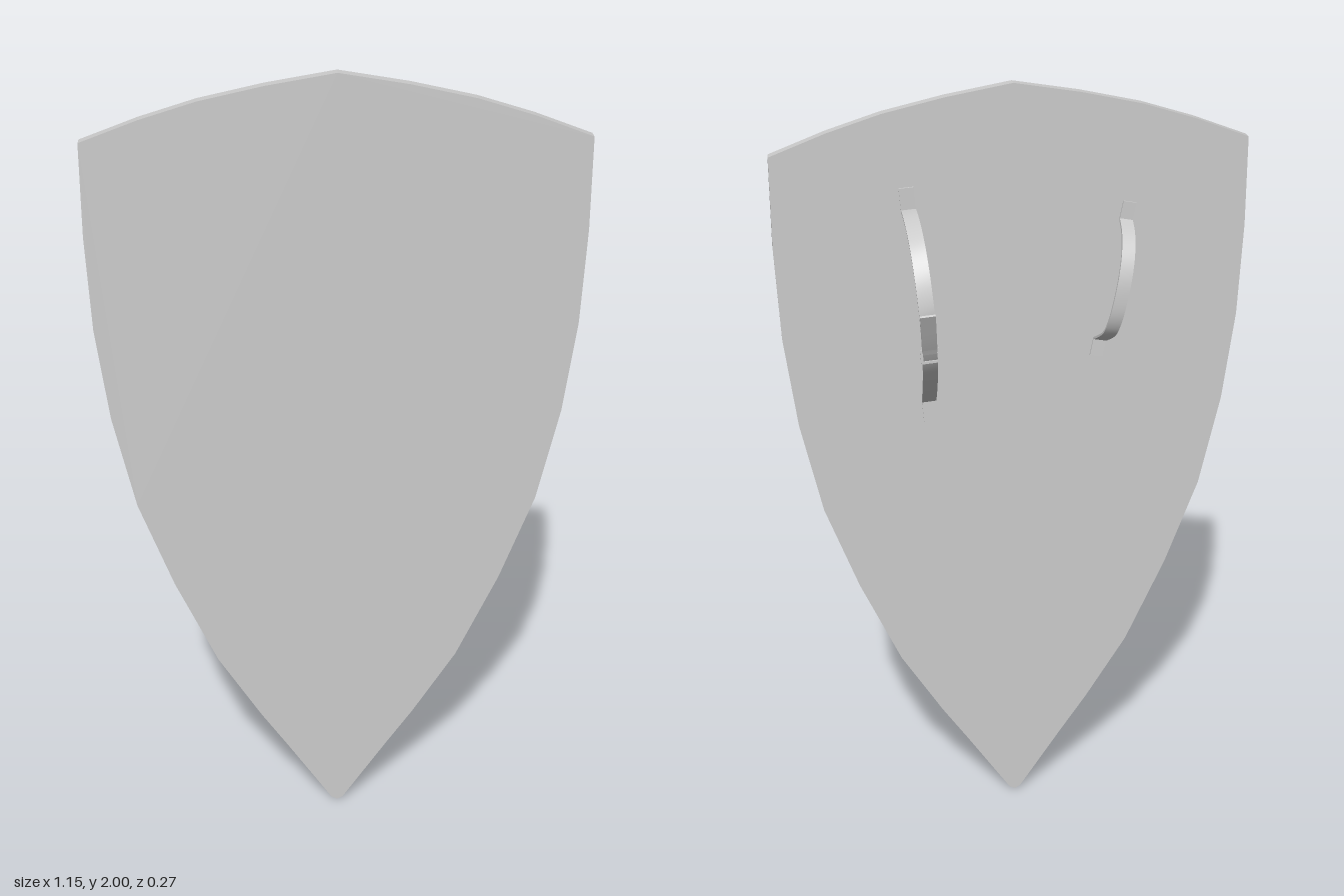
import * as THREE from 'three';
import { toCreasedNormals } from 'three/addons/utils/BufferGeometryUtils.js';

const material = new THREE.MeshStandardMaterial({ color: 0xcccccc, side: THREE.DoubleSide });
const BACK = 0.11; // z of the board's rear face

function mesh(name, geometry) {
  const m = new THREE.Mesh(geometry, material);
  m.name = name;
  return m;
}

// Leather band: a [z, y] path thickened and extruded across x.
// tabStart / tabEnd add flat tabs lying against the board (signed heights).
function band(name, path, width, { tabStart = 0, tabEnd = 0, thickness = 0.006 } = {}) {
  const curve = new THREE.CatmullRomCurve3(path.map(([z, y]) => new THREE.Vector3(-z, y, 0)), false, 'centripetal');
  const line = curve.getSpacedPoints(22).map(p => new THREE.Vector2(p.x, p.y));
  const first = line[0], last = line[line.length - 1];
  if (tabStart) line.unshift(new THREE.Vector2(first.x, first.y + tabStart));
  if (tabEnd) line.push(new THREE.Vector2(last.x, last.y + tabEnd));

  const side = s => line.map((p, i) => {
    const a = line[Math.max(i - 1, 0)], b = line[Math.min(i + 1, line.length - 1)];
    const d1 = p.clone().sub(a).normalize(), d2 = b.clone().sub(p).normalize();
    const t = d1.add(d2).normalize();
    return new THREE.Vector2(p.x - t.y * s, p.y + t.x * s);
  });
  const shape = new THREE.Shape([...side(thickness / 2), ...side(-thickness / 2).reverse()]);
  const geo = new THREE.ExtrudeGeometry(shape, { depth: width, bevelEnabled: false });
  geo.translate(0, 0, -width / 2).rotateY(Math.PI / 2);
  return mesh(name, toCreasedNormals(geo, 0.6));
}

// Flat pointed board with faceted edges
function board() {
  const half = [
    [0.015, 0.008], [0.13, 0.185], [0.2, 0.29], [0.308, 0.468], [0.41, 0.7], [0.492, 0.93],
    [0.542, 1.17], [0.569, 1.4], [0.577, 1.63], [0.574, 1.85], [0.44, 1.9], [0.31, 1.94], [0.16, 1.973],
  ];
  const right = half.map(([x, y]) => new THREE.Vector2(x, y));
  const left = half.map(([x, y]) => new THREE.Vector2(-x, y)).reverse();
  const shape = new THREE.Shape([new THREE.Vector2(0, 0), ...right, new THREE.Vector2(0, 2), ...left]);
  const geo = new THREE.ExtrudeGeometry(shape, { depth: 0.028, bevelEnabled: false });
  return mesh('board', geo.translate(0, 0, BACK));
}

// Thin rectangular frame through which the arm strap passes
function buckle() {
  const rect = (w, h) => [[-w, -h], [w, -h], [w, h], [-w, h]].map(([x, y]) => new THREE.Vector2(x, y));
  const shape = new THREE.Shape(rect(0.023, 0.018));
  shape.holes.push(new THREE.Path(rect(0.017, 0.012)));
  return mesh('buckle', new THREE.ExtrudeGeometry(shape, { depth: 0.004, bevelEnabled: false }));
}

// Group whose children use heights measured from its centre, tilted in the board's plane
function tilted(name, x, y, angle, parts) {
  const g = new THREE.Group();
  g.name = name;
  g.position.set(x, y, 0);
  g.rotation.z = angle;
  g.add(...parts);
  return g;
}

export function createModel() {
  const model = new THREE.Group();
  model.name = 'shield';
  const z0 = BACK - 0.002;

  // Hand grip
  const grip = band('gripBand', [
    [z0, 0.157], [0.06, 0.133], [0.025, 0.095], [0.006, 0.045], [0.002, -0.01],
    [0.008, -0.065], [0.03, -0.108], [0.065, -0.132], [z0, -0.155],
  ], 0.033, { tabStart: 0.045, tabEnd: -0.045 });

  // Arm strap: upper band tucks under the lower band's free end
  const upper = band('upperArmBand', [
    [z0, 0.25], [0.06, 0.246], [0, 0.23], [-0.05, 0.202], [-0.09, 0.15],
    [-0.108, 0.09], [-0.11, 0.055], [-0.1, 0.01], [-0.075, -0.045],
  ], 0.036, { tabStart: 0.055 });
  const lower = band('lowerArmBand', [
    [z0, -0.245], [0.06, -0.203], [0, -0.145], [-0.05, -0.085], [-0.085, -0.025], [-0.132, 0.07],
  ], 0.036, { tabStart: -0.055 });
  const frame = buckle();
  frame.position.set(0, -0.05, -0.08);

  model.add(
    board(),
    tilted('handGrip', -0.247, 1.505, 0.19, [grip]),
    tilted('armStrap', 0.234, 1.46, -0.075, [upper, lower, frame]),
  );
  return model;
}
